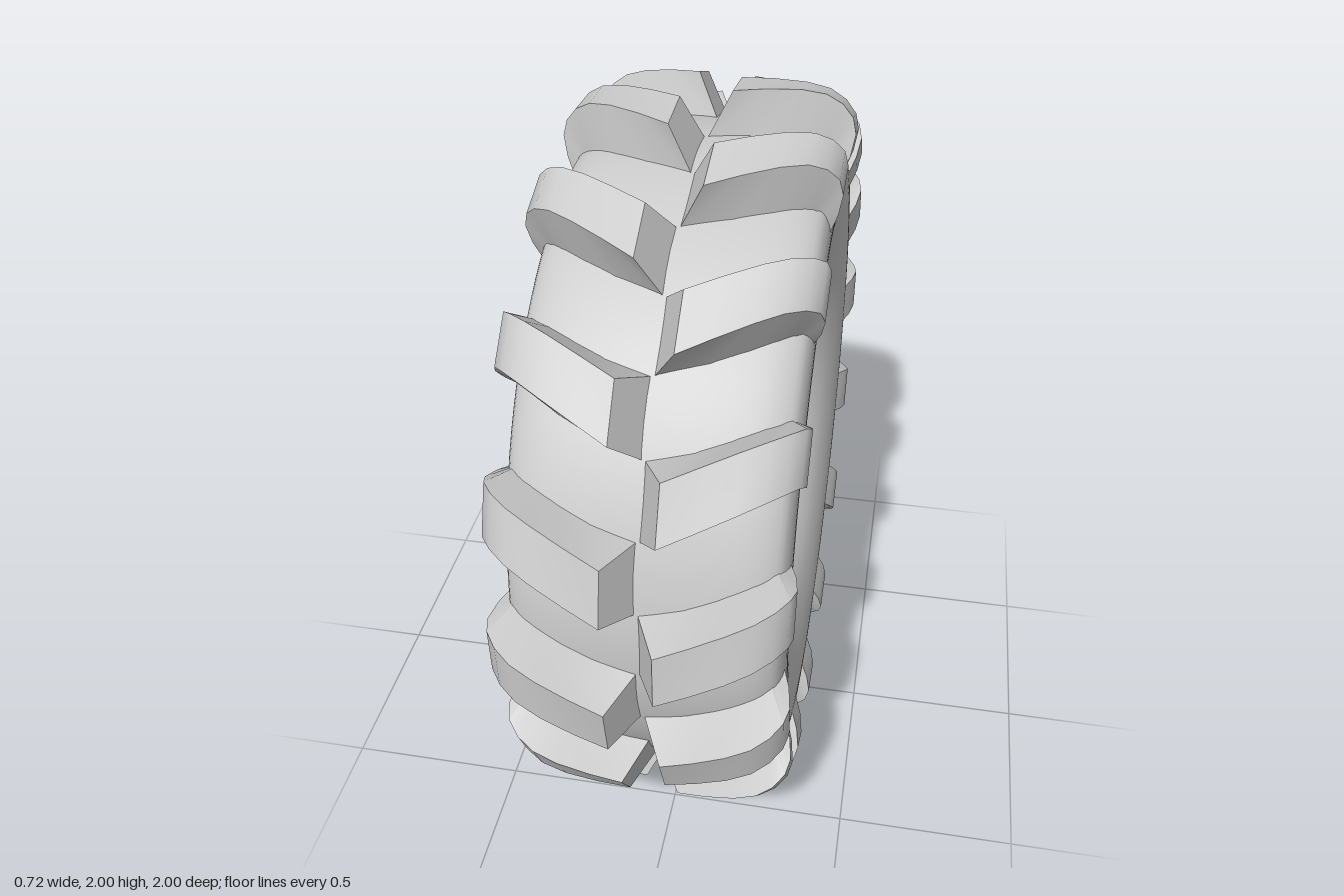
import * as THREE from 'three';
import { toCreasedNormals } from 'three/addons/utils/BufferGeometryUtils.js';

const rubber = new THREE.MeshStandardMaterial({ color: 0xcccccc });
rubber.name = 'grey rubber';

const LUGS = 15;
const DEG = Math.PI / 180;

// Turn a profile of [x, radius] around the x axis
function turn(profile, name) {
  const points = profile.map(([x, r]) => new THREE.Vector2(r, x));
  const geometry = new THREE.LatheGeometry(points, 96).rotateZ(-Math.PI / 2);
  const mesh = new THREE.Mesh(geometry, rubber);
  mesh.name = name;
  return mesh;
}

// One lug from crown to sidewall: [top x, top radius, base x, base radius, half top angle, half base angle]
const stations = [
  [0.06, 1.0, 0.0, 0.88, 4.2, 6.1],
  [0.14, 0.997, 0.12, 0.87, 4.1, 6.0],
  [0.22, 0.99, 0.2, 0.855, 4.0, 6.0],
  [0.28, 0.976, 0.25, 0.84, 3.9, 5.9],
  [0.322, 0.95, 0.28, 0.815, 3.9, 5.8],
  [0.35, 0.915, 0.295, 0.8, 4.0, 5.8],
  [0.36, 0.875, 0.3, 0.785, 4.2, 5.7],
  [0.351, 0.82, 0.3, 0.77, 4.6, 5.6],
  [0.33, 0.76, 0.3, 0.75, 5.0, 5.4],
];

// Swept bar with a trapezoid section that leans forward towards the shoulder
function lugGeometry(side) {
  const positions = [];
  const index = [];
  stations.forEach(([tx, tr, bx, br, topHalf, baseHalf], i) => {
    const lean = i < 5 ? (tx - 0.06) / 0.29 : 1;
    const angle = 2.1 + 8.8 * lean;
    const corners = [
      [bx, br, -baseHalf], [tx, tr, -topHalf], [tx, tr, topHalf], [bx, br, baseHalf],
    ];
    for (const [x, r, offset] of corners) {
      const a = (angle + offset) * DEG;
      positions.push(side * x, r * Math.sin(a), r * Math.cos(a));
    }
  });
  const quad = (a, b, c, d) => {
    if (side > 0) index.push(a, b, c, a, c, d);
    else index.push(a, c, b, a, d, c);
  };
  for (let i = 0; i < stations.length - 1; i++) {
    for (let j = 0; j < 4; j++) {
      const k = (j + 1) % 4;
      quad(i * 4 + j, i * 4 + 4 + j, i * 4 + 4 + k, i * 4 + k);
    }
  }
  const e = (stations.length - 1) * 4;
  quad(0, 1, 2, 3);
  quad(e + 3, e + 2, e + 1, e);
  const geometry = new THREE.BufferGeometry();
  geometry.setAttribute('position', new THREE.Float32BufferAttribute(positions, 3));
  geometry.setIndex(index);
  return toCreasedNormals(geometry, 32 * DEG);
}

export function createModel() {
  const model = new THREE.Group();
  model.name = 'tractorTyre';
  const wheel = new THREE.Group();
  wheel.name = 'wheel';
  wheel.position.y = 1;
  model.add(wheel);

  // Carcass: smooth sidewalls and crown, mirrored about the middle
  const half = [
    [0.24, 0.45], [0.27, 0.49], [0.301, 0.55], [0.324, 0.63], [0.335, 0.71],
    [0.335, 0.765], [0.328, 0.805], [0.308, 0.838], [0.25, 0.867], [0.14, 0.884],
  ];
  const control = [
    ...half.map(([x, r]) => [-x, r]), [0, 0.89], ...half.slice().reverse(),
  ].map(([x, r]) => new THREE.Vector2(x, r));
  const curve = new THREE.SplineCurve(control);
  wheel.add(turn(curve.getPoints(60).map((p) => [p.x, p.y]), 'carcass'));

  for (const side of [1, -1]) {
    const label = side > 0 ? 'left' : 'right';

    // Hub disc and the narrow lip joining it to the sidewall
    const lip = [[0.24, 0.45], [0.225, 0.43]].map(([x, r]) => [side * x, r]);
    wheel.add(turn(side > 0 ? lip : lip.reverse(), label + 'Lip'));
    const disc = new THREE.Mesh(new THREE.CircleGeometry(0.432, 96), rubber);
    disc.name = label + 'HubDisc';
    disc.position.x = side * 0.225;
    disc.rotation.y = (side * Math.PI) / 2;
    wheel.add(disc);

    // Tread lugs, staggered by half a pitch between the two sides
    const tread = new THREE.Group();
    tread.name = label + 'Tread';
    const geometry = lugGeometry(side);
    for (let i = 0; i < LUGS; i++) {
      const lug = new THREE.Mesh(geometry, rubber);
      lug.name = 'treadLug';
      lug.rotation.x = ((i + (side > 0 ? 0 : 0.5)) / LUGS) * Math.PI * 2;
      tread.add(lug);
    }
    wheel.add(tread);
  }
  return model;
}
